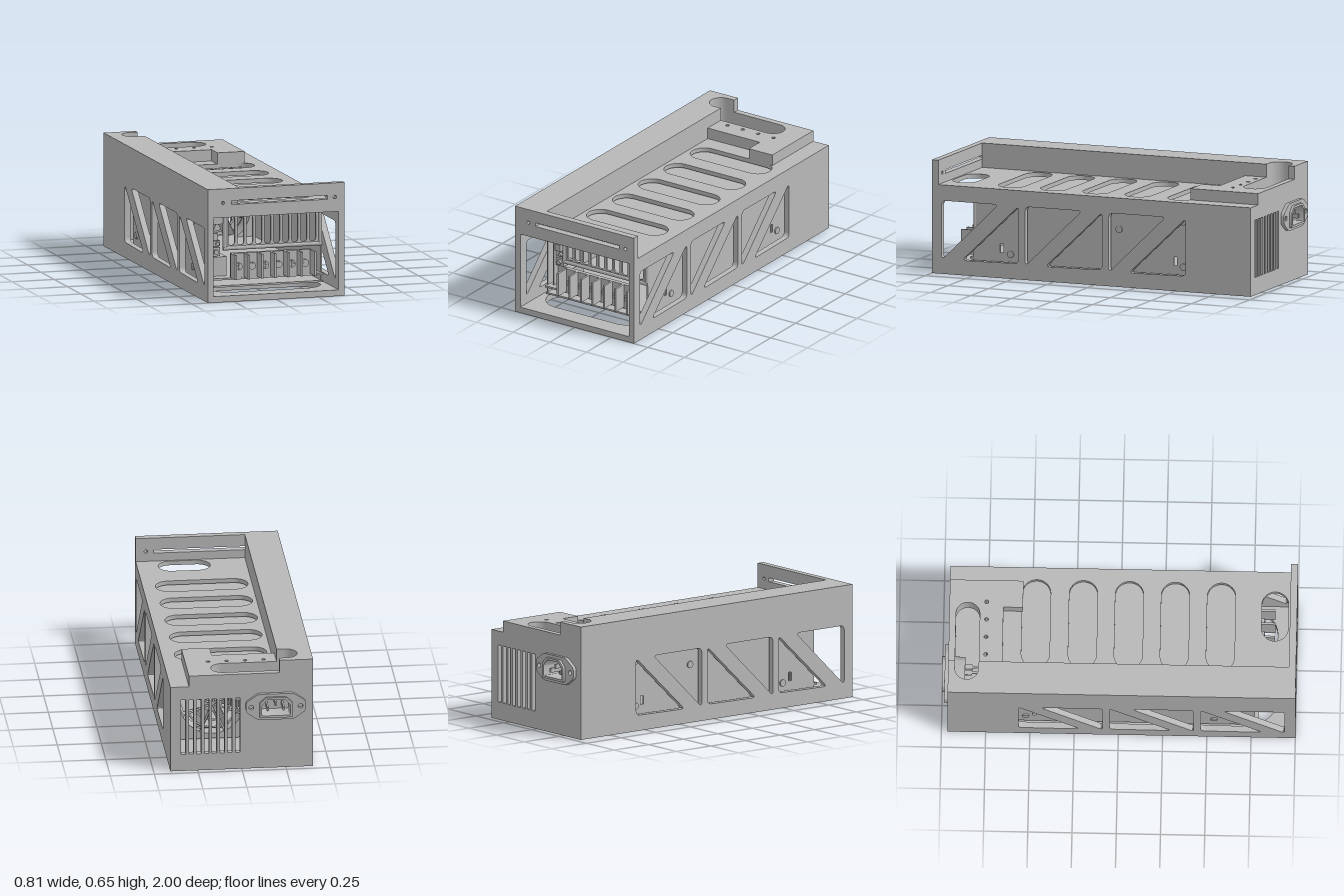
import * as THREE from 'three';
import { toCreasedNormals } from 'three/addons/utils/BufferGeometryUtils.js';

const grey = new THREE.MeshStandardMaterial({ color: 0xb8b8b8 });
grey.name = 'plain grey';

// Closed outline with rounded corners
function poly(points, r = 0) {
  const s = new THREE.Shape();
  const n = points.length;
  const P = points.map(p => new THREE.Vector2(p[0], p[1]));
  P.forEach((p, i) => {
    const toPrev = P[(i + n - 1) % n].clone().sub(p).normalize().multiplyScalar(r).add(p);
    const toNext = P[(i + 1) % n].clone().sub(p).normalize().multiplyScalar(r).add(p);
    if (i === 0) s.moveTo(toPrev.x, toPrev.y); else s.lineTo(toPrev.x, toPrev.y);
    if (r) s.quadraticCurveTo(p.x, p.y, toNext.x, toNext.y);
  });
  s.closePath();
  return s;
}
const rect = (x0, y0, x1, y1, r = 0) => poly([[x0, y0], [x1, y0], [x1, y1], [x0, y1]], r);

function circle(x, y, r) {
  const s = new THREE.Shape();
  s.absarc(x, y, r, 0, Math.PI * 2);
  return s;
}

// Slot with round ends, w wide and h high
function slot(x, y, w, h) {
  const s = new THREE.Shape(), r = Math.min(w, h) / 2, a = w / 2 - r, b = h / 2 - r;
  if (w > h) {
    s.absarc(x + a, y, r, -Math.PI / 2, Math.PI / 2);
    s.absarc(x - a, y, r, Math.PI / 2, Math.PI * 1.5);
  } else {
    s.absarc(x, y + b, r, 0, Math.PI);
    s.absarc(x, y - b, r, Math.PI, Math.PI * 2);
  }
  s.closePath();
  return s;
}

function add(group, name, geo, x = 0, y = 0, z = 0) {
  const m = new THREE.Mesh(geo, grey);
  m.name = name;
  m.position.set(x, y, z);
  group.add(m);
  return m;
}
const box = (g, name, x0, x1, y0, y1, z0, z1) =>
  add(g, name, new THREE.BoxGeometry(x1 - x0, y1 - y0, z1 - z0), (x0 + x1) / 2, (y0 + y1) / 2, (z0 + z1) / 2);

function extrude(shape, holes, depth) {
  shape.holes.push(...holes);
  return toCreasedNormals(new THREE.ExtrudeGeometry(shape, { depth, bevelEnabled: false, curveSegments: 16 }), 0.6);
}
// Plates facing z (drawn in x, y), y (drawn in x, -z) and x (drawn in z, y)
const plateZ = (g, name, shape, holes, z0, z1) => add(g, name, extrude(shape, holes, z1 - z0), 0, 0, z0);
const plateY = (g, name, shape, holes, y0, y1) =>
  add(g, name, extrude(shape, holes, y1 - y0).rotateX(-Math.PI / 2), 0, y0, 0);
const plateX = (g, name, shape, holes, x0, x1) =>
  add(g, name, extrude(shape, holes, x1 - x0).rotateY(-Math.PI / 2), x1, 0, 0);

const rod = (g, name, r, len, axis, x, y, z) => {
  const m = add(g, name, new THREE.CylinderGeometry(r, r, len, 20), x, y, z);
  if (axis === 'x') m.rotation.z = Math.PI / 2;
  if (axis === 'z') m.rotation.x = Math.PI / 2;
  return m;
};

function housing() {
  const g = new THREE.Group();
  g.name = 'housing';
  // Floor with three wide openings and mounting holes
  const floorHoles = [0.764, 0.26, -0.25].map(z => slot(0, -z, 0.66, 0.25));
  for (const x of [-0.22, 0.22]) for (const z of [-0.53, 0.53]) floorHoles.push(circle(x, -z, 0.013));
  plateY(g, 'floor', rect(-0.405, -1, 0.405, 0.965), floorHoles, 0, 0.035);

  // Side walls with paired triangular windows
  for (const x of [-0.405, 0.37]) {
    const tri = [];
    for (const z of [0.94, 0.425, -0.09]) {
      tri.push(poly([[z, 0.42], [z - 0.35, 0.42], [z, 0.08]], 0.03));
      tri.push(poly([[z - 0.475, 0.42], [z - 0.475, 0.09], [z - 0.81 + 0.0, 0.09]].map(
        ([a, b], i) => i === 2 ? [z - 0.125, 0.085] : [a, b]), 0.03));
    }
    plateX(g, 'sideWall', rect(-0.965, 0.035, 1, 0.485), tri, x, x + 0.035);
  }

  // Deck with cooling slots
  const deckHoles = [-0.475, -0.21, 0.05, 0.31, 0.57].map(z => slot(0.07, -z, 0.525, 0.16));
  deckHoles.push(slot(0.138, -0.875, 0.295, 0.15), slot(-0.08, 0.86, 0.49, 0.135));
  plateY(g, 'deck', rect(-0.405, -1, 0.405, 0.965), deckHoles, 0.485, 0.51);

  // Raised rail, notched by the rear slot
  const rail = new THREE.Shape();
  rail.moveTo(-0.405, -0.96);
  rail.lineTo(-0.215, -0.96);
  rail.lineTo(-0.215, 0.7925);
  rail.absarc(-0.2575, 0.86, 0.0675, Math.PI * 1.5, Math.PI / 2, true);
  rail.lineTo(-0.215, 0.9275);
  rail.lineTo(-0.215, 0.965);
  rail.lineTo(-0.405, 0.965);
  plateY(g, 'rail', rail, [], 0.51, 0.65);

  // Stepped rear block with the other half of the slot
  const block = new THREE.Shape();
  block.moveTo(-0.215, 0.66);
  block.lineTo(0.14, 0.66);
  block.lineTo(0.14, 0.55);
  block.lineTo(0.3, 0.55);
  block.lineTo(0.3, 0.965);
  block.lineTo(-0.215, 0.965);
  block.lineTo(-0.215, 0.9275);
  block.absarc(0.0975, 0.86, 0.0675, Math.PI / 2, -Math.PI / 2, true);
  block.lineTo(-0.215, 0.7925);
  plateY(g, 'rearBlock', block, [-0.145, -0.04, 0.065, 0.17].map(x => circle(x, 0.755, 0.011)), 0.51, 0.575);

  // Front plate with slit and screw holes
  plateZ(g, 'frontPlate', rect(-0.405, 0.51, 0.405, 0.65),
    [rect(-0.265, 0.558, 0.305, 0.58), circle(-0.315, 0.569, 0.01), circle(0.347, 0.569, 0.01)], 0.96, 1);

  // Rear wall with vents and socket opening
  const vents = [];
  for (let i = 0; i < 8; i++) vents.push(rect(0.01 + i * 0.044, 0.1, 0.036 + i * 0.044, 0.43));
  vents.push(rect(-0.285, 0.31, -0.1, 0.44));
  plateZ(g, 'rearWall', rect(-0.37, 0.035, 0.37, 0.485), vents, -0.965, -0.93);
  return g;
}

function socket() {
  const g = new THREE.Group();
  g.name = 'powerSocket';
  const inlet = (k) => poly([[-0.08 - k, -0.048 - k], [0.08 + k, -0.048 - k], [0.08 + k, 0.015 + k],
    [0.05 + k * 0.5, 0.048 + k], [-0.05 - k * 0.5, 0.048 + k], [-0.08 - k, 0.015 + k]], 0.006);
  const flange = poly([[-0.1, 0.078], [-0.17, 0.03], [-0.17, -0.03], [-0.1, -0.078],
    [0.1, -0.078], [0.17, -0.03], [0.17, 0.03], [0.1, 0.078]], 0.018);
  plateZ(g, 'flange', flange, [inlet(0), circle(-0.14, 0, 0.014), circle(0.14, 0, 0.014)], -0.985, -0.965);
  plateZ(g, 'rim', inlet(0.013), [inlet(0)], -1, -0.985);
  plateZ(g, 'socketShell', inlet(0.012), [inlet(0)], -0.965, -0.89);
  plateZ(g, 'socketBack', inlet(0.012), [], -0.89, -0.87);
  // Contact pins and rear terminals
  for (const [x, y] of [[-0.045, -0.015], [0, 0.015], [0.045, -0.015]]) {
    box(g, 'pin', x - 0.005, x + 0.005, y - 0.013, y + 0.013, -0.98, -0.89);
    box(g, 'terminal', x - 0.014, x + 0.014, y - 0.005, y + 0.005, -0.87, -0.83);
    box(g, 'terminalTip', x - 0.006, x + 0.006, y - 0.004, y + 0.004, -0.83, -0.8);
  }
  g.position.set(-0.192, 0.377, 0);
  return g;
}

function supply() {
  const g = new THREE.Group();
  g.name = 'powerSupply';
  // Casing
  box(g, 'baseTray', -0.345, 0.345, 0.045, 0.055, -0.6, 0.78);
  box(g, 'circuitBoard', -0.345, 0.345, 0.088, 0.099, -0.55, 0.79);
  box(g, 'coverTop', -0.345, 0.345, 0.465, 0.475, -0.6, 0.77);
  for (const s of [-1, 1]) {
    plateX(g, 'coverSide', rect(-0.6, 0.055, 0.77, 0.465),
      [rect(0.585, 0.135, 0.605, 0.185), rect(-0.485, 0.135, -0.465, 0.185)], s * 0.34 - 0.005, s * 0.34 + 0.005);
    for (const [z, y] of [[0.54, 0.13], [0.54, 0.39], [-0.525, 0.13], [-0.525, 0.39], [-0.13, 0.32]])
      rod(g, 'sideScrew', 0.02, 0.01, 'x', s * 0.348, y, z);
  }
  // Slotted front grille with rounded frame
  const slots = [];
  for (let i = 0; i < 10; i++) slots.push(slot(-0.19 + i * 0.0533, 0.366, 0.037, 0.17));
  plateZ(g, 'grille', rect(-0.24, 0.26, 0.345, 0.475), slots, 0.755, 0.765);
  box(g, 'grilleShoulder', -0.345, -0.24, 0.405, 0.475, 0.755, 0.765);
  rod(g, 'grilleEdge', 0.012, 0.585, 'x', 0.052, 0.265, 0.762);
  rod(g, 'grilleEdge', 0.012, 0.69, 'x', 0, 0.466, 0.762);
  rod(g, 'grilleEdge', 0.012, 0.2, 'y', -0.23, 0.366, 0.762);
  rod(g, 'grilleEdge', 0.012, 0.2, 'y', 0.335, 0.366, 0.762);

  // Terminal strip
  box(g, 'terminalBack', -0.2, 0.275, 0.1, 0.24, 0.77, 0.795);
  for (let i = 0; i < 7; i++) {
    const x = -0.2 + i * 0.0785;
    box(g, 'divider', x - 0.006, x + 0.006, 0.1, 0.24, 0.795, 0.875);
    if (i === 6) break;
    rod(g, 'terminalScrew', 0.021, 0.02, 'z', x + 0.039, 0.165, 0.804);
    box(g, 'screwCross', x + 0.023, x + 0.055, 0.162, 0.168, 0.81, 0.818);
    box(g, 'screwCross', x + 0.036, x + 0.042, 0.149, 0.181, 0.81, 0.818);
  }

  // Upright board with its small components
  box(g, 'uprightBoard', -0.311, -0.303, 0.1, 0.415, 0.5, 0.76);
  box(g, 'filterBox', -0.335, -0.205, 0.1, 0.21, 0.6, 0.72);
  box(g, 'connector', -0.303, -0.268, 0.31, 0.35, 0.7, 0.75);
  box(g, 'trimmer', -0.303, -0.25, 0.275, 0.307, 0.69, 0.74);
  rod(g, 'trimmerKnob', 0.011, 0.02, 'z', -0.268, 0.291, 0.745);
  box(g, 'indicatorBase', -0.303, -0.25, 0.218, 0.268, 0.69, 0.74);
  rod(g, 'indicator', 0.014, 0.02, 'z', -0.276, 0.243, 0.745);

  // Rear panel and fan
  const cx = 0.13, cy = 0.258;
  plateZ(g, 'rearPanel', rect(-0.335, 0.055, 0.335, 0.465), [circle(cx, cy, 0.183)], -0.6, -0.59);
  plateZ(g, 'fanFrame', rect(cx - 0.2, cy - 0.2, cx + 0.2, cy + 0.2, 0.025), [circle(cx, cy, 0.185)], -0.59, -0.48);
  rod(g, 'fanHub', 0.06, 0.08, 'z', cx, cy, -0.53);
  for (const r of [0.1, 0.145]) add(g, 'guardRing', new THREE.TorusGeometry(r, 0.006, 8, 40), cx, cy, -0.6);
  for (let i = 0; i < 4; i++) {
    const spoke = rod(g, 'guardSpoke', 0.006, 0.37, 'y', cx, cy, -0.6);
    spoke.rotation.z = Math.PI / 8 + i * Math.PI / 4;
  }
  for (let i = 0; i < 7; i++) {
    const pivot = new THREE.Group();
    pivot.name = 'fanBlade';
    pivot.position.set(cx, cy, -0.53);
    pivot.rotation.z = i * Math.PI * 2 / 7;
    add(pivot, 'blade', new THREE.BoxGeometry(0.07, 0.12, 0.006), 0, 0.112, 0).rotation.y = 0.75;
    g.add(pivot);
  }
  return g;
}

export function createModel() {
  const model = new THREE.Group();
  model.name = 'powerSupplyEnclosure';
  model.add(housing(), socket(), supply());
  return model;
}
